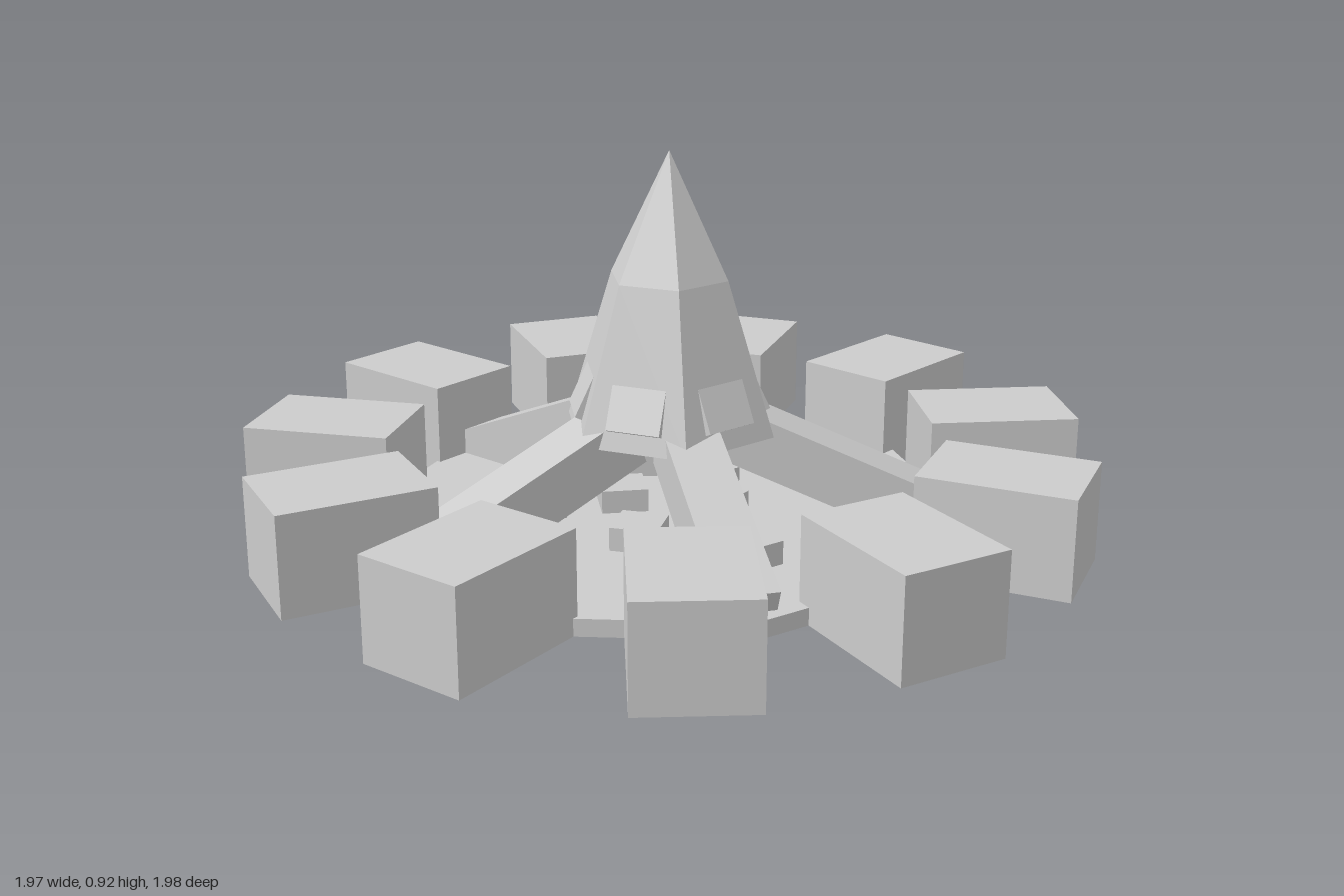
import * as THREE from 'three';

const RAD = Math.PI / 180;
const material = new THREE.MeshStandardMaterial({ color: 0xcccccc, flatShading: true });

function part(name, geometry, x = 0, y = 0, z = 0) {
  const mesh = new THREE.Mesh(geometry, material);
  mesh.name = name;
  mesh.position.set(x, y, z);
  return mesh;
}

// Arm turned about the centre, its +x axis pointing at the given angle (from +x towards +z)
function spoke(name, degrees, mesh) {
  const arm = new THREE.Group();
  arm.name = name;
  arm.rotation.y = -degrees * RAD;
  arm.add(mesh);
  return arm;
}

export function createModel() {
  const model = new THREE.Group();
  model.name = 'station';
  const body = new THREE.Group();
  body.name = 'body';
  body.position.z = -0.02;
  model.add(body);

  // Ten-sided base plate
  body.add(part('basePlate', new THREE.CylinderGeometry(0.689, 0.689, 0.04, 10), 0, 0.05, 0));

  // Ring of eleven blocks, each slightly askew
  const blockGeometry = new THREE.BoxGeometry(0.356, 0.235, 0.258);
  const blockYaw = [2.7, 39.2, 66, 105, 131, 171, 198.7, 228, 268.4, 291.5, 333.4];
  blockYaw.forEach((yaw, i) => {
    const a = (i / blockYaw.length) * Math.PI * 2;
    const block = part('block', blockGeometry, 0.805 * Math.cos(a), 0.1475, 0.805 * Math.sin(a));
    block.rotation.y = -yaw * RAD;
    body.add(block);
  });

  // Five sloping struts whose feet poke through the plate
  const strutGeometry = new THREE.BoxGeometry(0.55, 0.13, 0.13);
  for (let i = 0; i < 5; i++) {
    const strut = part('strutBeam', strutGeometry, 0.382, 0.167, 0);
    strut.rotation.z = -23 * RAD;
    body.add(spoke('strut', 54 + i * 72, strut));
  }

  // Six-sided tower with a kinked spire
  const profile = [[0, 0.268], [0.26, 0.268], [0.145, 0.63], [0, 0.922]];
  const points = profile.map(([r, y]) => new THREE.Vector2(r, y));
  body.add(part('tower', new THREE.LatheGeometry(points, 6, Math.PI / 6)));

  // Hatch on every tower face
  const hatchGeometry = new THREE.BoxGeometry(0.035, 0.13, 0.13);
  for (let i = 0; i < 6; i++) {
    const hatch = part('hatchPanel', hatchGeometry, 0.186, 0.37, 0);
    hatch.rotation.z = 25 * RAD;
    body.add(spoke('hatch', 30 + i * 60, hatch));
  }

  // Low crates scattered on the plate: x, z, yaw in degrees
  const crateGeometry = new THREE.BoxGeometry(0.11, 0.055, 0.11);
  const crates = [
    [0.03, 0.26, -7], [0.29, 0.265, 34], [-0.265, 0.185, 40], [-0.13, -0.2, -25],
    [0.13, 0.03, 15], [-0.1, 0.05, 60], [0.05, -0.13, 30], [-0.21, -0.04, 10],
  ];
  for (const [x, z, yaw] of crates) {
    const crate = part('crate', crateGeometry, x, 0.0975, z);
    crate.rotation.y = -yaw * RAD;
    body.add(crate);
  }

  return model;
}
